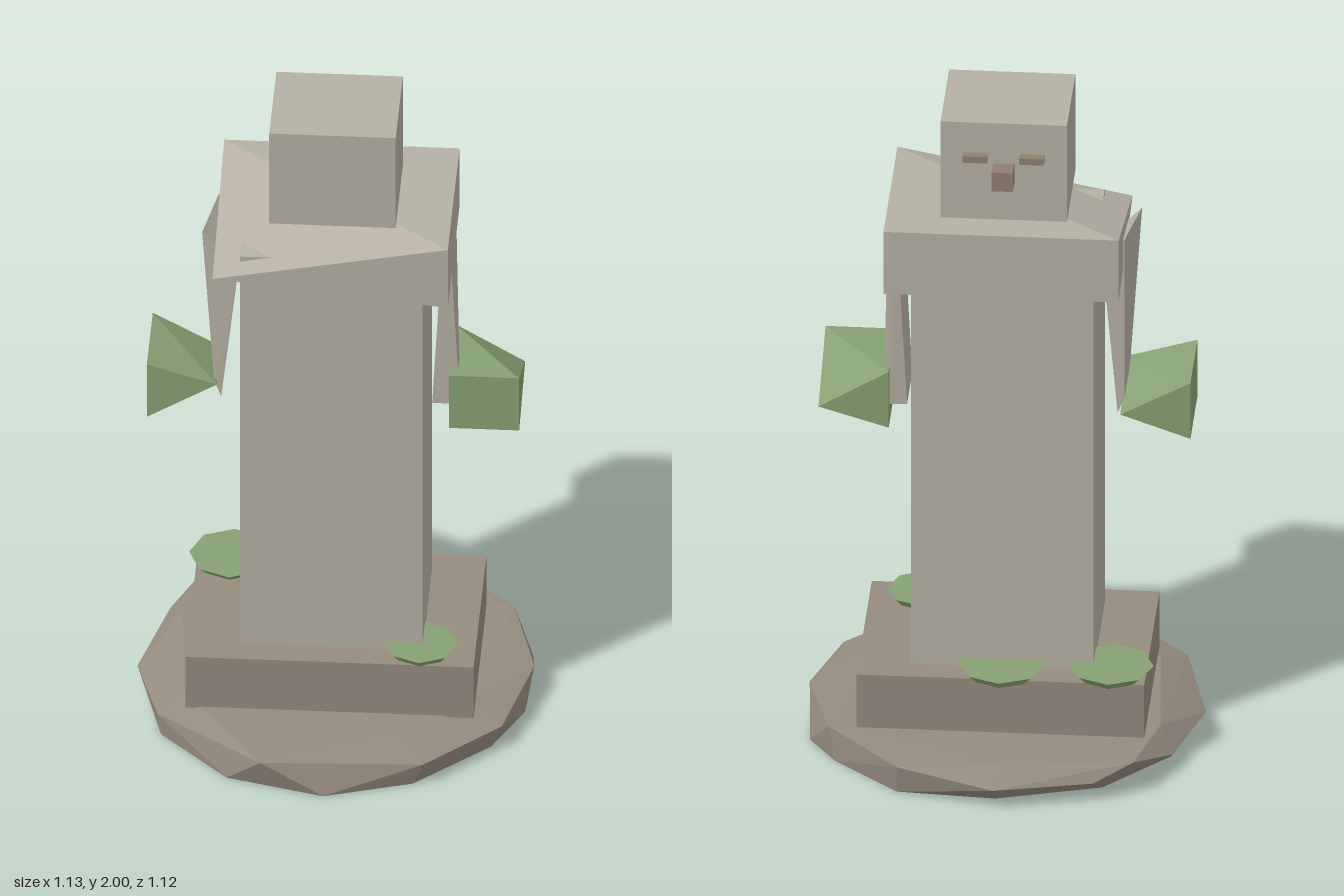
import * as THREE from 'three';
import { ConvexGeometry } from 'three/addons/geometries/ConvexGeometry.js';

const mat = (color) => new THREE.MeshStandardMaterial({ color, flatShading: true });

export function createModel() {
  const model = new THREE.Group();
  const stone = mat(0xb5b0a3), earth = mat(0x958b7e), moss = mat(0x86a073), beakMat = mat(0x8f7f70);

  const add = (name, geometry, material) => {
    const mesh = new THREE.Mesh(geometry, material);
    mesh.name = name;
    model.add(mesh);
    return mesh;
  };
  // Block spanning +-hx, y0..y1, +-hz
  const block = (name, hx, y0, y1, hz, material) => {
    const mesh = add(name, new THREE.BoxGeometry(hx * 2, y1 - y0, hz * 2), material);
    mesh.position.y = (y0 + y1) / 2;
    return mesh;
  };
  // Chipped block: convex solid from a few corners
  const chipped = (name, corners, material) =>
    add(name, new ConvexGeometry(corners.map((c) => new THREE.Vector3(...c))), material);

  // Rough rock slab under the plinth
  chipped('rockBase', [
    // rim
    [0, 0.065, -0.565], [0.28, 0.09, -0.49], [0.49, 0.1, -0.28], [0.565, 0.09, 0],
    [0.49, 0.07, 0.28], [0.28, 0.07, 0.485], [-0.18, 0.1, 0.55], [-0.49, 0.07, 0.28],
    [-0.565, 0.04, 0], [-0.49, 0.05, -0.28], [-0.39, 0.1, -0.43], [-0.28, 0.06, -0.49],
    // upper face
    [0.4, 0.1, 0.2], [0.2, 0.1, 0.4], [-0.42, 0.1, 0.2], [-0.45, 0.1, -0.2], [0, 0.1, -0.48],
    // underside
    [0.55, 0, -0.18], [0.545, 0, 0.1], [0.46, 0, 0.28], [0.25, 0, 0.48], [0, 0, 0.56],
    [-0.28, 0, 0.485], [-0.48, 0, 0.28], [-0.48, 0, -0.2], [-0.3, 0, -0.4],
    [0, 0, -0.49], [0.28, 0, -0.47], [0.47, 0, -0.3],
  ], earth);

  block('plinth', 0.41, 0.095, 0.27, 0.28, earth);
  block('column', 0.26, 0.27, 1.605, 0.203, stone);

  // Shoulder slab with one corner worn to a point
  chipped('shoulderSlab', [
    [-0.335, 1.69, -0.255], [0.335, 1.69, -0.255], [0.335, 1.69, 0.255],
    [-0.335, 1.49, -0.255], [0.335, 1.49, -0.255], [0.335, 1.49, 0.255],
    [-0.335, 1.56, 0.255],
  ], stone);

  block('head', 0.18, 1.69, 2, 0.155, stone);

  // Face on the back of the head
  block('beak', 0.03, 1.81, 1.87, 0.0275, beakMat).position.z = -0.1825;
  for (const side of [-1, 1]) {
    const brow = block(side > 0 ? 'leftBrow' : 'rightBrow', 0.035, 1.883, 1.903, 0.015, beakMat);
    brow.position.x = side * 0.081;
    brow.position.z = -0.166;
  }

  // Tapering arms
  chipped('leftArm', [
    [0.31, 1.61, 0.1], [0.33, 1.61, 0.1], [0.31, 1.61, -0.1], [0.335, 1.61, -0.1],
    [0.28, 1.05, 0.095], [0.36, 1.05, 0.095], [0.28, 1.05, -0.095], [0.335, 1.05, -0.1],
  ], stone);
  chipped('rightArm', [
    [-0.375, 1.61, 0.095], [-0.27, 1.5, 0.1], [-0.34, 1.61, -0.1], [-0.28, 1.5, -0.1],
    [-0.32, 1.05, 0.1], [-0.34, 1.1, 0.1], [-0.32, 1.05, -0.1], [-0.34, 1.1, -0.1],
  ], stone);

  // Chipped green hands
  chipped('leftHand', [
    [0.33, 1.17, 0.13], [0.53, 1.17, 0.13], [0.33, 0.99, 0.13], [0.53, 0.99, 0.13],
    [0.33, 1.17, -0.13], [0.33, 0.99, -0.13], [0.53, 1.05, -0.13],
  ], moss);
  chipped('rightHand', [
    [-0.53, 1.17, 0.13], [-0.53, 0.99, 0.13], [-0.53, 1.17, -0.13], [-0.53, 0.99, -0.13],
    [-0.33, 1.11, 0.13], [-0.33, 1.06, -0.13],
  ], moss);

  // Moss pads on the plinth
  for (const [x, z, r] of [[0, -0.225, 0.125], [-0.31, -0.21, 0.122], [0.255, 0.2, 0.105]]) {
    const pad = add('mossPad', new THREE.CylinderGeometry(r, r * 0.75, 0.03, 8), moss);
    pad.position.set(x, 0.28, z);
  }

  return model;
}
